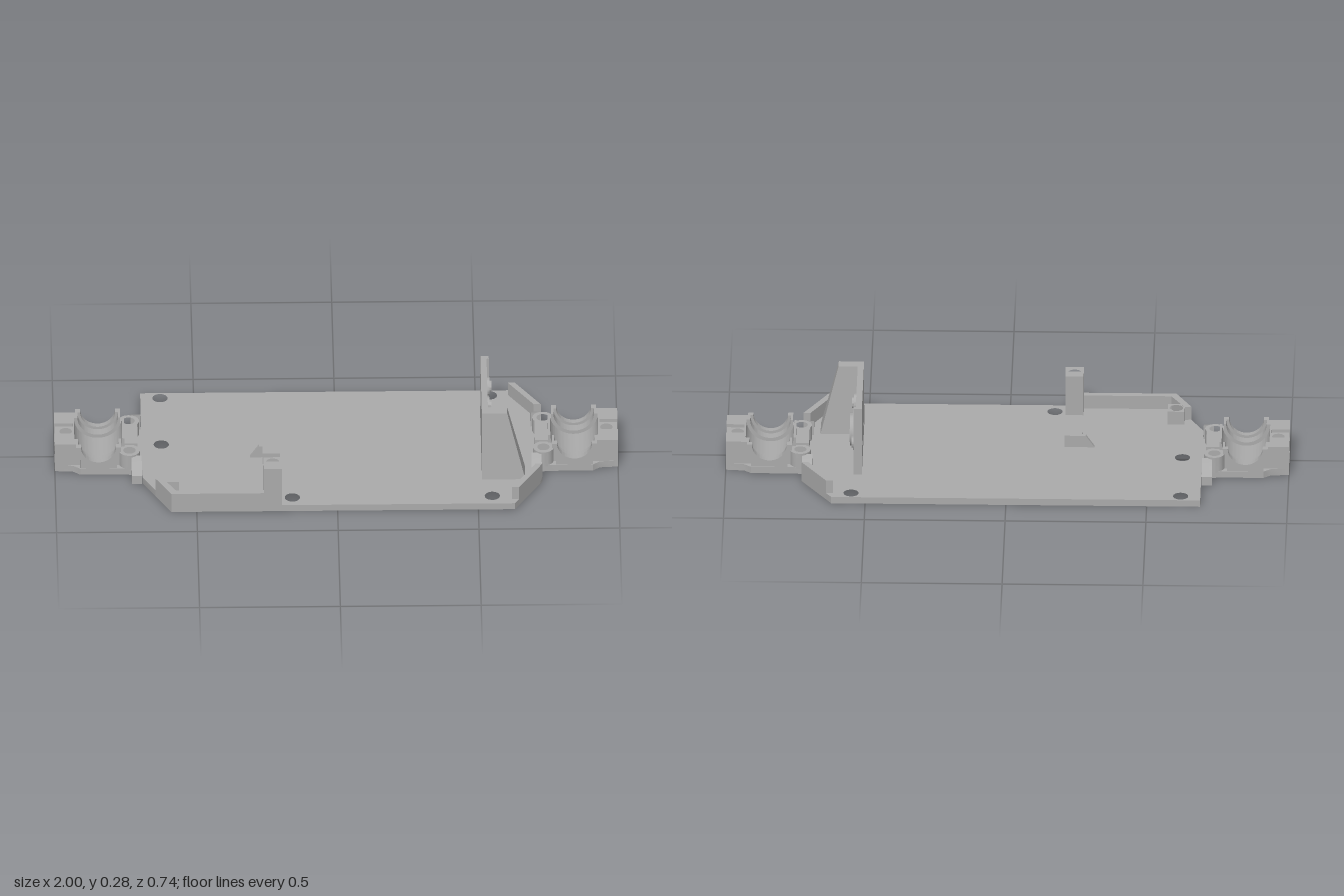
import * as THREE from 'three';
import { toCreasedNormals } from 'three/addons/utils/BufferGeometryUtils.js';

const grey = new THREE.MeshStandardMaterial({ color: 0xaaaaaa });
grey.name = 'grey plastic';

function add(parent, name, geometry) {
  const mesh = new THREE.Mesh(geometry, grey);
  mesh.name = name;
  parent.add(mesh);
  return mesh;
}

function outline(points, holes = []) {
  const shape = new THREE.Shape(points.map(([a, b]) => new THREE.Vector2(a, b)));
  for (const [a, b, r] of holes) shape.holes.push(new THREE.Path().absarc(a, b, r, 0, Math.PI * 2, true));
  return shape;
}

const extrude = (shape, depth) =>
  new THREE.ExtrudeGeometry(shape, { depth, bevelEnabled: false, curveSegments: 20 });

// Plan outline given as (x, z), raised from y0
function rise(points, holes, y0, height) {
  const s = outline(points.map(([x, z]) => [x, -z]), holes.map(([x, z, r]) => [x, -z, r]));
  return toCreasedNormals(extrude(s, height).rotateX(-Math.PI / 2).translate(0, y0, 0), 0.6);
}

// Outline given as (z, y), extruded along x from x0
function along(points, holes, x0, depth) {
  const s = outline(points.map(([z, y]) => [-z, y]), holes.map(([z, y, r]) => [-z, y, r]));
  return toCreasedNormals(extrude(s, depth).rotateY(Math.PI / 2).translate(x0, 0, 0), 0.6);
}

const rect = (a0, a1, b0, b1) => [[a0, b0], [a1, b0], [a1, b1], [a0, b1]];
const circle = (a, b, r) => Array.from({ length: 32 }, (_, i) => {
  const t = i / 32 * Math.PI * 2;
  return [a + r * Math.cos(t), b + r * Math.sin(t)];
});

// Side slice of the axle cradle with a half-round seat
function cradle(u0, u1, r, z0, z1) {
  const s = new THREE.Shape();
  s.moveTo(u0, 0.002);
  s.lineTo(u1, 0.002);
  s.lineTo(u1, 0.112);
  s.lineTo(0.845 + r, 0.112);
  s.absarc(0.845, 0.112, r, 0, Math.PI, true);
  s.lineTo(u0, 0.112);
  return toCreasedNormals(extrude(s, z1 - z0).translate(0, 0, z0), 0.6);
}

// Bearing rim: a half ring standing on the base
function bearingRim(z0, z1) {
  const s = new THREE.Shape();
  s.moveTo(0.765, 0.112);
  s.lineTo(0.783, 0.112);
  s.absarc(0.845, 0.112, 0.062, Math.PI, Math.PI * 2, false);
  s.lineTo(0.925, 0.112);
  s.lineTo(0.91, 0.06);
  s.lineTo(0.91, 0.002);
  s.lineTo(0.78, 0.002);
  s.lineTo(0.78, 0.06);
  return toCreasedNormals(extrude(s, z1 - z0).translate(0, 0, z0), 0.6);
}

function axleHousing(name) {
  const g = new THREE.Group();
  g.name = name;
  const side = [[0.69, 0.14], [0.755, 0.13], [0.785, 0.13], [0.91, 0.13], [0.935, 0.11], [1, 0.105]];
  const plan = [...side, ...side.map(([x, z]) => [x, -z]).reverse()];
  const bolts = [[0.735, 0.097, 0.022], [0.735, -0.097, 0.022], [0.96, 0, 0.022]];
  add(g, 'housingFloor', rise(plan, bolts, 0, 0.025));
  add(g, 'gearBay', cradle(0.752, 0.936, 0.085, -0.07, 0.07));
  // inner wall between the bolt bosses
  add(g, 'innerWall', rise(rect(0.705, 0.753, -0.062, 0.062), [], 0.002, 0.085));
  for (const s of [-1, 1]) {
    const span = (a, b) => s > 0 ? [a, b] : [-b, -a];
    add(g, 'axleSeat', cradle(0.765, 0.936, 0.072, ...span(0.07, 0.106)));
    add(g, 'bearingRim', bearingRim(...span(0.106, 0.128)));
    add(g, 'boltBoss', rise(circle(0.735, s * 0.097, 0.037), [[0.735, s * 0.097, 0.022]], 0.02, 0.06));
    // end blocks with a round socket
    const [a, b] = span(0.032, 0.106);
    add(g, 'endBlock', along([[a, 0.002], [b, 0.002], [b, 0.112], [a, 0.112]],
      [[s * 0.066, 0.044, 0.029]], 0.935, 0.065));
    // small screw lugs beside the housing
    const [c, d] = span(0.125, 0.195);
    const tall = s > 0 ? [[c, 0], [d, 0], [d, 0.035], [d - 0.03, 0.062], [c, 0.075]]
      : [[c, 0], [d, 0], [d, 0.075], [c + 0.03, 0.062], [c, 0.035]];
    add(g, 'screwLug', along(tall, [[s * 0.16, 0.026, 0.013]], 0.692, 0.036));
  }
  add(g, 'endBridge', rise(rect(0.935, 0.998, -0.032, 0.032), [[0.96, 0, 0.022]], 0.02, 0.08));
  g.position.z = -0.01;
  return g;
}

// Round collar on the outer face of the motor plate
const collar = (z, y, r, hole, x0, depth) => along(circle(z, y, r), [[z, y, hole]], x0, depth);

export function createModel() {
  const model = new THREE.Group();
  model.name = 'chassis';

  // floor plate with screw holes
  add(model, 'floorPlate', rise([
    [-0.69, -0.373], [0.62, -0.373], [0.73, -0.2], [0.73, -0.15], [0.69, -0.15], [0.69, 0.13],
    [0.73, 0.13], [0.73, 0.19], [0.63, 0.37], [-0.59, 0.37], [-0.69, 0.18],
  ], [[-0.62, -0.34, 0.027], [0.55, -0.34, 0.027], [-0.62, -0.035, 0.027],
    [0.55, 0.32, 0.027], [-0.16, 0.32, 0.027]], 0, 0.025));

  const right = axleHousing('leftAxleHousing');
  const left = axleHousing('rightAxleHousing');
  left.rotation.y = Math.PI;
  model.add(right, left);

  // angled corner walls
  add(model, 'frontCornerWall', rise([[0.73, 0.19], [0.645, 0.343], [0.62, 0.343], [0.705, 0.19]], [], 0.002, 0.074));
  add(model, 'backCornerWall', rise([[0.73, -0.2], [0.705, -0.2], [0.615, -0.343], [0.64, -0.343]], [], 0.002, 0.074));

  // motor plate with its shaft holes and collars
  const mount = new THREE.Group();
  mount.name = 'motorMount';
  model.add(mount);
  add(mount, 'motorPlate', along([[0.2, 0.02], [-0.193, 0.02], [-0.193, 0.285], [0.183, 0.285]],
    [[-0.003, 0.11, 0.04], [-0.093, 0.183, 0.038], [-0.06, 0.244, 0.01], [-0.126, 0.12, 0.01]], 0.515, 0.022));
  add(mount, 'shaftCollar', collar(-0.003, 0.11, 0.075, 0.04, 0.536, 0.014));
  add(mount, 'shaftCollarLip', collar(-0.003, 0.11, 0.058, 0.046, 0.549, 0.012));
  for (const [z, y] of [[-0.06, 0.244], [-0.126, 0.12]]) {
    add(mount, 'screwCollar', collar(z, y, 0.033, 0.01, 0.536, 0.01));
    add(mount, 'screwCollarLip', collar(z, y, 0.02, 0.01, 0.545, 0.008));
  }
  add(mount, 'plateRim', rise(rect(0.515, 0.545, -0.194, -0.176), [], 0.02, 0.265));

  // tapered buttress: a box whose top is drawn in
  const buttress = new THREE.BoxGeometry(1, 1, 1);
  const p = buttress.attributes.position;
  for (let i = 0; i < p.count; i++) {
    const top = p.getY(i) > 0;
    const x = p.getX(i) < 0 ? 0.515 : (top ? 0.605 : 0.67);
    const z = p.getZ(i) < 0 ? (top ? 0.143 : 0.125) : (top ? 0.184 : 0.213);
    p.setXYZ(i, x, top ? 0.285 : 0.02, z);
  }
  buttress.computeVertexNormals();
  add(mount, 'buttress', buttress);

  // front side wall, tall post and corner boss
  add(model, 'sideWall', rise([[-0.26, 0.348], [-0.26, 0.37], [-0.59, 0.37], [-0.645, 0.268],
    [-0.622, 0.262], [-0.573, 0.348]], [], 0.002, 0.074));
  add(model, 'tallPost', rise(rect(-0.262, -0.197, 0.293, 0.37), [[-0.23, 0.325, 0.024]], 0.16, 0.018));
  add(model, 'tallPostBody', rise(rect(-0.262, -0.197, 0.293, 0.37), [], 0.002, 0.158));
  add(model, 'cornerBoss', rise(rect(-0.622, -0.562, 0.228, 0.29), [[-0.592, 0.258, 0.024]], 0.02, 0.055));

  // short post with a bracing fin
  add(model, 'shortPost', rise(rect(-0.262, -0.2, 0.04, 0.1), [[-0.23, 0.07, 0.024]], 0.02, 0.05));
  const fin = extrude(outline([[-0.31, 0.02], [-0.26, 0.02], [-0.26, 0.07], [-0.275, 0.07]]), 0.014);
  add(model, 'shortPostFin', fin.translate(0, 0, 0.04));

  return model;
}
